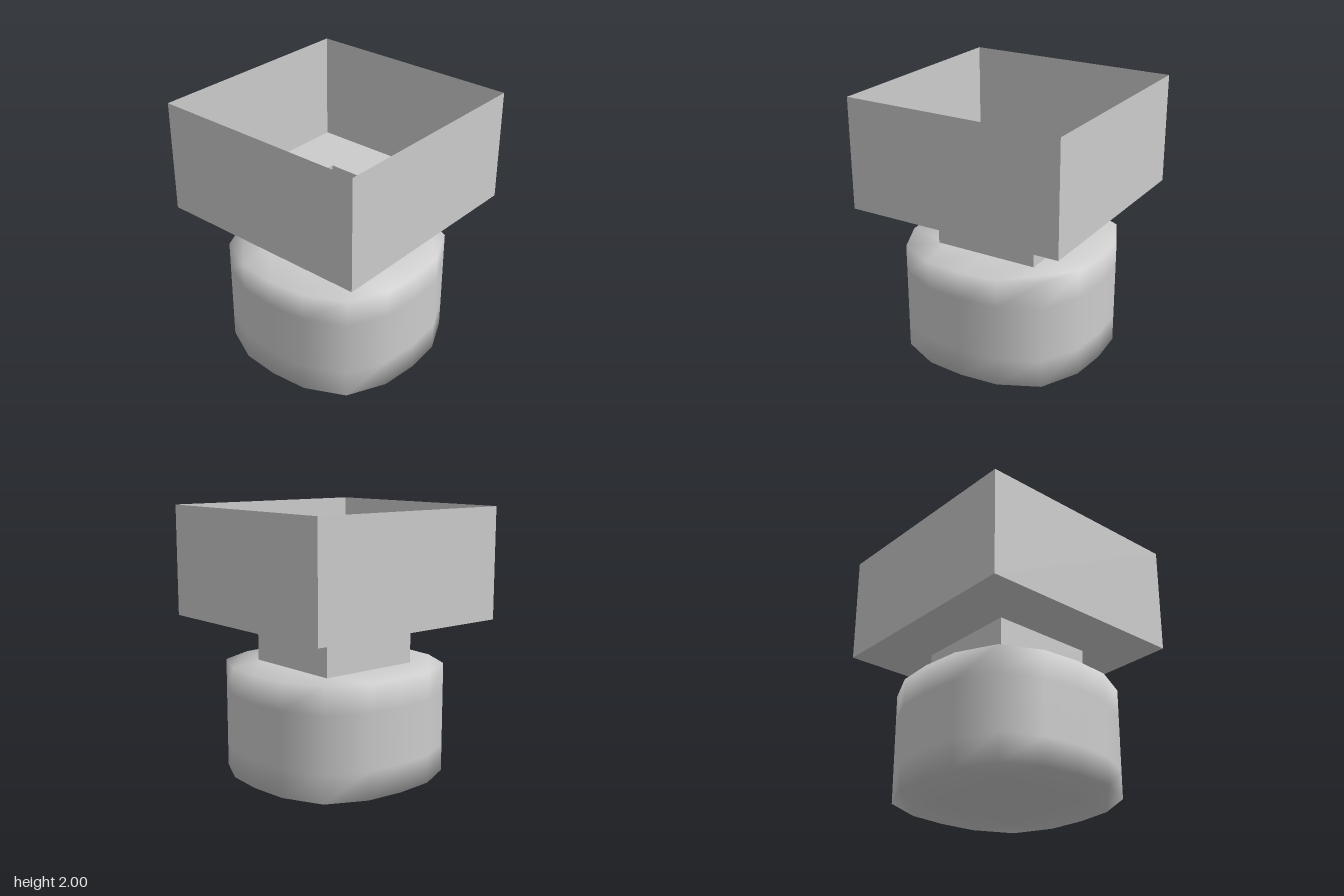
import * as THREE from 'three';
import { mergeVertices } from 'three/addons/utils/BufferGeometryUtils.js';

const BOX = 0.833, NECK = 0.405;      // half widths
const BASE_TOP = 0.835, FLOOR = 1.17, TOP = 2;

// Open-ended square tube with flat sides
function squareTube(half, y0, y1) {
  const r = half * Math.SQRT2;
  const g = new THREE.CylinderGeometry(r, r, y1 - y0, 4, 1, true)
    .rotateY(Math.PI / 4)
    .translate(0, (y0 + y1) / 2, 0)
    .toNonIndexed();
  g.computeVertexNormals();
  return g;
}

// Square outline, usable as shape or hole
function square(half, Type) {
  return new Type([[-1, -1], [1, -1], [1, 1], [-1, 1]].map(
    ([x, y]) => new THREE.Vector2(x * half, y * half)));
}

// Smooth-shaded block whose plan is a square rounded at the corners
function roundedBase() {
  let g = new THREE.BoxGeometry(2, BASE_TOP, 2, 4, 4, 4).translate(0, BASE_TOP / 2, 0);
  const p = g.attributes.position;
  const pull = (u, v) => u * (0.745 - 0.165 * Math.abs(v) ** 2.7);
  for (let i = 0; i < p.count; i++) {
    const u = p.getX(i), v = p.getZ(i);
    p.setX(i, pull(u, v));
    p.setZ(i, pull(v, u));
  }
  g.deleteAttribute('normal');
  g.deleteAttribute('uv');
  g = mergeVertices(g);
  g.computeVertexNormals();
  return g;
}

export function createModel() {
  const model = new THREE.Group();
  const grey = new THREE.MeshStandardMaterial({ color: 0xcccccc, side: THREE.DoubleSide });
  grey.name = 'light grey';

  const add = (name, geometry) => {
    const mesh = new THREE.Mesh(geometry, grey);
    mesh.name = name;
    model.add(mesh);
  };

  add('base', roundedBase());
  add('neck', squareTube(NECK, BASE_TOP, FLOOR));

  // Tray open at the top, its floor pierced by the hollow neck
  const floor = square(BOX, THREE.Shape);
  floor.holes.push(square(NECK, THREE.Path));
  add('trayFloor', new THREE.ShapeGeometry(floor).rotateX(-Math.PI / 2).translate(0, FLOOR, 0));
  add('trayWalls', squareTube(BOX, FLOOR, TOP));

  return model;
}
